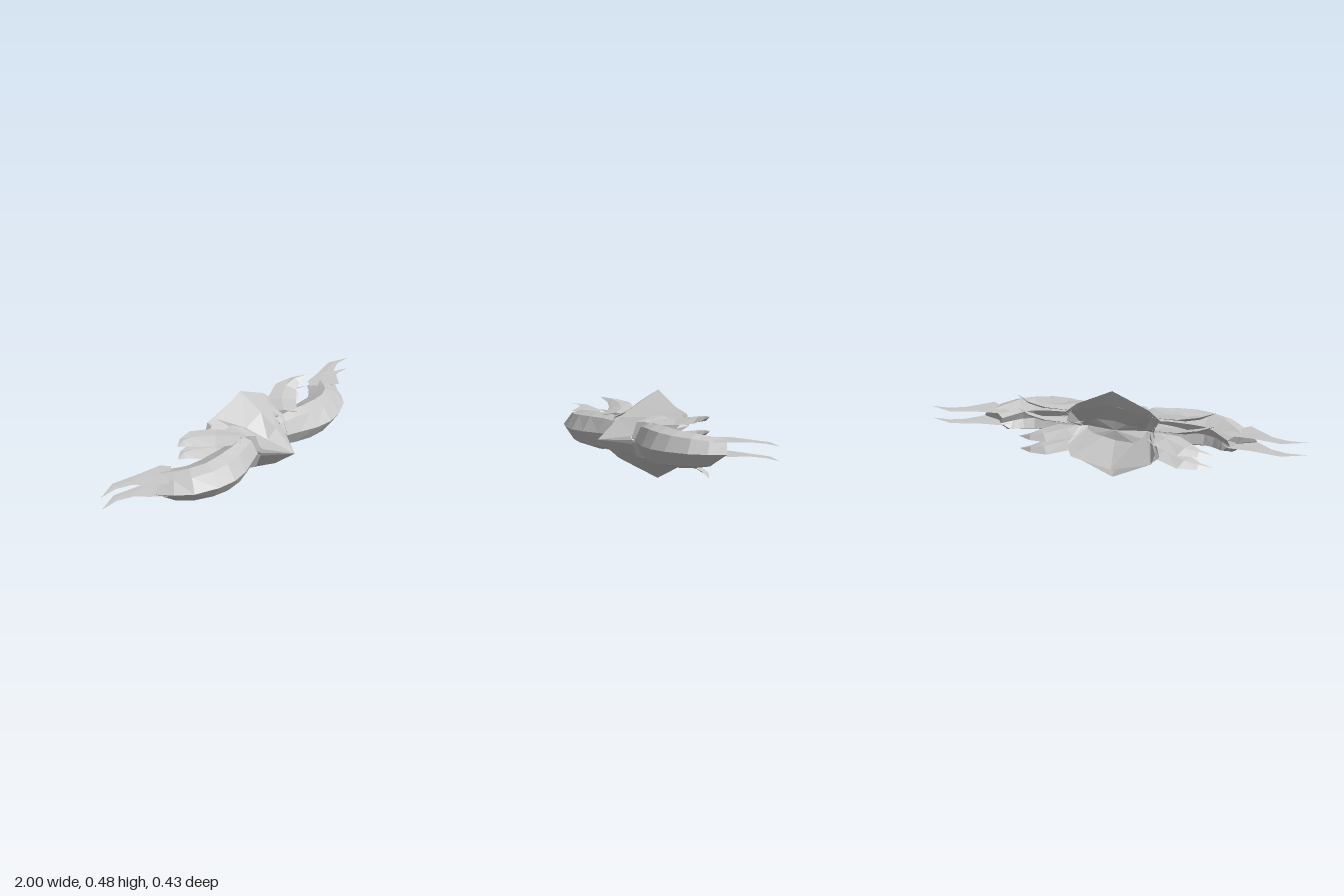
import * as THREE from 'three';

const MID = 0.242; // height of the horizontal symmetry plane

// Skin a list of closed rings (equal point counts) with flat facets and end caps
function loft(rings) {
  const out = [];
  const tri = (a, b, c) => out.push(...a, ...b, ...c);
  const n = rings[0].length;
  for (let i = 0; i < rings.length - 1; i++) {
    for (let j = 0; j < n; j++) {
      const k = (j + 1) % n;
      const [a, b, c, d] = [rings[i][j], rings[i][k], rings[i + 1][k], rings[i + 1][j]];
      tri(a, b, c);
      tri(a, c, d);
    }
  }
  const cap = (r, flip) => {
    const m = [0, 1, 2].map((q) => r.reduce((s, p) => s + p[q], 0) / n);
    r.forEach((p, j) => {
      const o = r[(j + 1) % n];
      if (flip) tri(m, o, p); else tri(m, p, o);
    });
  };
  cap(rings[0], true);
  cap(rings[rings.length - 1], false);
  const g = new THREE.BufferGeometry();
  g.setAttribute('position', new THREE.Float32BufferAttribute(out, 3));
  g.computeVertexNormals();
  return g;
}

// Complete a quarter outline (top to side, given as x, rise, z) to a full ring
function fullRing(q) {
  const right = [...q, ...q.slice(0, -1).reverse().map(([x, h, z]) => [x, -h, z])];
  const left = right.slice(1, -1).reverse().map(([x, h, z]) => [-x, h, z]);
  return [...right, ...left].map(([x, h, z]) => [x, MID + h, z]);
}

// Blade from stations of leading and trailing points, with a slim ridge between
function blade(stations, thick) {
  return loft(stations.map(([a, b]) => {
    const m = a.map((v, i) => (v + b[i]) / 2);
    const w = Math.hypot(a[0] - b[0], a[2] - b[2]);
    const t = Math.min(thick, w * 0.2);
    return [a, [m[0], m[1] + t, m[2]], b, [m[0], m[1] - t, m[2]]];
  }));
}

export function createModel() {
  const model = new THREE.Group();
  const grey = new THREE.MeshStandardMaterial({ color: 0xc8c8c8 });
  grey.name = 'paleGrey';
  grey.flatShading = true;
  grey.side = THREE.DoubleSide;

  const add = (parent, name, geometry) => {
    const mesh = new THREE.Mesh(geometry, grey);
    mesh.name = name;
    parent.add(mesh);
  };

  // Central hull: pointed nose, tall rear diamond, back folded in to a crease
  add(model, 'hull', loft([
    [[0, 0, 0.218], [0, 0, 0.218], [0, 0, 0.218], [0, 0, 0.218]],
    [[0, 0.108, 0.09], [0.06, 0.06, 0.085], [0.1, 0.02, 0.08], [0.11, 0, 0.075]],
    [[0, 0.163, -0.01], [0.11, 0.115, -0.02], [0.13, 0.085, -0.02], [0.13, 0, -0.02]],
    [[0, 0.242, -0.157], [0.19, 0.155, -0.157], [0.25, 0.105, -0.157], [0.2, 0, -0.07]],
    [[0, 0, -0.04], [0.16, 0, -0.045], [0.19, 0, -0.05], [0.2, 0, -0.07]],
  ].map(fullRing)));

  // Upper and lower rims flaring out of the folded back
  add(model, 'rearRim', loft([
    [[0, 0.14, -0.11], [0.17, 0.1, -0.11], [0.2, 0.05, -0.09], [0.19, 0, -0.06]],
    [[0, 0.183, -0.197], [0.215, 0.13, -0.197], [0.235, 0.07, -0.197], [0.2, 0, -0.08]],
    [[0, 0, -0.06], [0.15, 0, -0.06], [0.18, 0, -0.07], [0.2, 0, -0.08]],
  ].map(fullRing)));

  // Arm stations: outer x, z, inner x, z, half height
  const armStations = [
    [0.1, 0.06, 0.13, -0.06, 0.085],
    [0.2, 0.1, 0.2, -0.05, 0.1],
    [0.3, 0.14, 0.29, -0.045, 0.103],
    [0.4, 0.155, 0.39, -0.05, 0.1],
    [0.5, 0.138, 0.46, -0.055, 0.093],
    [0.62, 0.085, 0.51, -0.08, 0.085],
    [0.69, 0.015, 0.55, -0.115, 0.074],
    [0.74, -0.06, 0.6, -0.165, 0.064],
  ];
  // Section as fraction from outer to inner edge and height factor
  const armSection = [[0, 0], [0.25, 0.78], [0.55, 1], [1, 0.55], [0.9, 0], [1, -0.55], [0.55, -1], [0.25, -0.78]];
  const armRings = armStations.map(([ox, oz, ix, iz, h], s) => armSection.map(([f, v]) => {
    const pull = s === 7 && v < 0 ? -v * 0.06 : 0; // slanted wrist
    return [ox + (ix - ox) * f - pull, MID + v * h, oz + (iz - oz) * f + pull * 0.8];
  }));

  // Hooked feather: leading and trailing points, then the tip
  const feather = [
    [[0.23, 0.335, 0.05], [0.13, 0.34, -0.05]],
    [[0.33, 0.338, -0.035], [0.21, 0.352, -0.145]],
    [[0.41, 0.35, -0.095], [0.35, 0.377, -0.197]],
    [[0.46, 0.37, -0.115], [0.45, 0.387, -0.17]],
    [[0.53, 0.396, -0.11], [0.53, 0.396, -0.11]],
  ];

  // Fin standing along the joint of hull and arm
  const fin = [
    [[0.11, 0.25, 0.08], [0.14, 0.25, 0.05]],
    [[0.115, 0.335, 0.05], [0.17, 0.33, 0]],
    [[0.12, 0.371, -0.07], [0.2, 0.35, -0.1]],
  ];

  // Swept claw at the wrist
  const claw = [
    [[0.7, 0.302, -0.01], [0.57, 0.302, -0.12]],
    [[0.765, 0.304, -0.075], [0.605, 0.304, -0.165]],
    [[0.82, 0.308, -0.135], [0.72, 0.308, -0.18]],
    [[0.9, 0.309, -0.168], [0.875, 0.309, -0.215]],
    [[1, 0.309, -0.165], [1, 0.309, -0.165]],
  ];
  const moved = (stations, dy, flip) => stations.map((st) => st.map(([x, y, z]) => {
    const h = y + dy - MID;
    return [x, MID + (flip ? -h : h), z];
  }));

  for (const side of [1, -1]) {
    const wing = new THREE.Group();
    wing.name = side > 0 ? 'leftWing' : 'rightWing';
    wing.scale.x = side;
    add(wing, 'arm', loft(armRings));
    add(wing, 'upperClaw', blade(claw, 0.0015));
    add(wing, 'lowerClaw', blade(moved(claw, -0.068, false), 0.0015));
    for (const flip of [false, true]) {
      const tag = flip ? 'lower' : 'upper';
      add(wing, tag + 'OuterFeather', blade(moved(feather, 0, flip), 0.012));
      add(wing, tag + 'InnerFeather', blade(moved(feather, -0.072, flip), 0.012));
      add(wing, tag + 'ShoulderFin', blade(moved(fin, 0, flip), 0.006));
    }
    model.add(wing);
  }
  return model;
}
